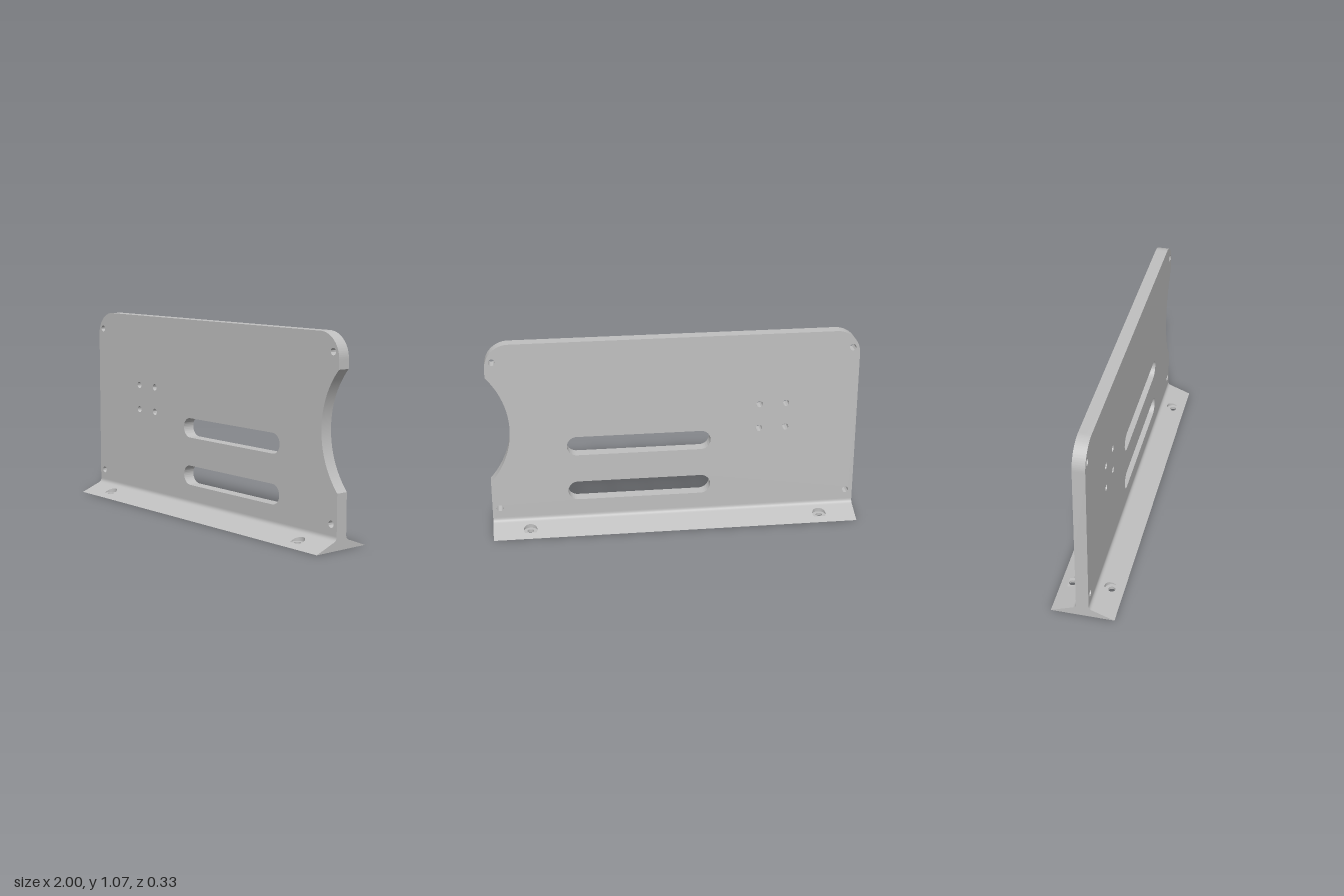
import * as THREE from 'three';
import { toCreasedNormals } from 'three/addons/utils/BufferGeometryUtils.js';

const HALF = 1, WEB = 0.033, TOE = 0.167;             // half length, half web thickness, flange reach
const KNEE = { z: 0.05, y: 0.045 };                   // where the slope meets the fillet
const BOLT = { z: 0.105, r: 0.018, bore: 0.037, clip: 0.021 };
const slopeY = z => KNEE.y * (TOE - z) / (TOE - KNEE.z);
const FLOOR = slopeY(BOLT.z + BOLT.clip);

const circle = (x, y, r) => new THREE.Path().absarc(x, y, r, 0, Math.PI * 2, false);

function slot(x0, x1, y, r) {
  const p = new THREE.Path();
  p.absarc(x1 - r, y, r, -Math.PI / 2, Math.PI / 2, false);
  p.absarc(x0 + r, y, r, Math.PI / 2, Math.PI * 1.5, false);
  p.closePath();
  return p;
}

function rectangle(x0, y0, x1, y1) {
  return new THREE.Shape([[x0, y0], [x1, y0], [x1, y1], [x0, y1]].map(p => new THREE.Vector2(...p)));
}

// Flat shape laid down on the x/z plane, lifted by a height rule
function laid(shape, facing, height) {
  const g = new THREE.ShapeGeometry(shape, 32);
  const p = g.attributes.position;
  for (let i = 0; i < p.count; i++) {
    const z = -facing * p.getY(i);
    p.setXYZ(i, p.getX(i), height(z), z);
  }
  g.computeVertexNormals();
  return g;
}

// Inward-facing wall of an opening, following its outline
function wall(points, bottom, top) {
  const pos = [], index = [];
  points.forEach((p, i) => {
    pos.push(p.x, bottom, -p.y, p.x, top(-p.y), -p.y);
    if (i) {
      const a = 2 * i - 2;
      index.push(a, a + 1, a + 3, a, a + 3, a + 2);
    }
  });
  const g = new THREE.BufferGeometry();
  g.setAttribute('position', new THREE.Float32BufferAttribute(pos, 3));
  g.setIndex(index);
  g.computeVertexNormals();
  return g;
}

// Upright plate with rounded top corners, side cutout, holes and slots
function plateGeometry() {
  const top = 1.07, r = 0.13, cx = 1.34, cy = 0.5875, R = 0.455;
  const a = Math.acos((cx - HALF) / R);
  const s = new THREE.Shape();
  s.moveTo(-HALF, 0);
  s.lineTo(HALF, 0);
  s.absarc(cx, cy, R, Math.PI + a, Math.PI - a, true);
  s.absarc(HALF - r, top - r, r, 0, Math.PI / 2, false);
  s.absarc(-HALF + r, top - r, r, Math.PI / 2, Math.PI, false);
  s.closePath();
  for (const x of [-0.96, 0.96]) for (const y of [0.127, 0.975]) s.holes.push(circle(x, y, 0.018));
  for (const x of [-0.605, -0.46]) for (const y of [0.53, 0.67]) s.holes.push(circle(x, y, 0.018));
  for (const y of [0.21, 0.475]) s.holes.push(slot(-0.195, 0.585, y, 0.054));
  const g = new THREE.ExtrudeGeometry(s, { depth: 2 * WEB, bevelEnabled: false, curveSegments: 32 });
  g.translate(0, 0, -WEB);
  return toCreasedNormals(g, 0.5);
}

// Sloping foot along one side of the plate, with counterbored bolt holes
function createFlange(material) {
  const group = new THREE.Group();
  const add = (name, geometry) => {
    const m = new THREE.Mesh(geometry, material);
    m.name = name;
    group.add(m);
  };
  const slope = rectangle(-HALF, -TOE, HALF, -KNEE.z);
  const underside = rectangle(-HALF, WEB, HALF, TOE);
  const clipAngle = Math.asin(BOLT.clip / BOLT.bore);
  for (const x of [-0.8, 0.8]) {
    const bore = new THREE.Shape();
    bore.absarc(x, -BOLT.z, BOLT.bore, -clipAngle, Math.PI + clipAngle, false);
    const rim = bore.getPoints(32);
    slope.holes.push(new THREE.Path(rim));
    underside.holes.push(circle(x, BOLT.z, BOLT.r));
    const hole = circle(x, -BOLT.z, BOLT.r);
    bore.holes.push(hole);
    add('counterboreWall', wall(rim, FLOOR, slopeY));
    add('counterboreFloor', laid(bore, 1, () => FLOOR));
    add('boltHoleWall', wall(hole.getPoints(32), 0, () => FLOOR));
  }
  add('flangeSlope', laid(slope, 1, slopeY));
  add('flangeUnderside', laid(underside, -1, () => 0));

  // Fillet between slope and plate
  const curve = new THREE.QuadraticBezierCurve(
    new THREE.Vector2(WEB, 0.07), new THREE.Vector2(WEB, slopeY(WEB)), new THREE.Vector2(KNEE.z, KNEE.y));
  const fillet = new THREE.PlaneGeometry(2 * HALF, 1, 1, 10);
  const p = fillet.attributes.position;
  for (let i = 0; i < p.count; i++) {
    const c = curve.getPoint(0.5 - p.getY(i));
    p.setXYZ(i, p.getX(i), c.y, c.x);
  }
  fillet.computeVertexNormals();
  add('fillet', fillet);

  // End caps
  for (const side of [-1, 1]) {
    const outline = [new THREE.Vector2(WEB, 0), ...curve.getPoints(10), new THREE.Vector2(TOE, 0)];
    const cap = new THREE.ShapeGeometry(new THREE.Shape(outline.map(v => new THREE.Vector2(-side * v.x, v.y))));
    cap.rotateY(side * Math.PI / 2);
    cap.translate(side * HALF, 0, 0);
    add('flangeEnd', cap);
  }
  return group;
}

export function createModel() {
  const model = new THREE.Group();
  model.name = 'mountingPlate';
  const metal = new THREE.MeshStandardMaterial({ color: 0xc0c0c0 });
  metal.name = 'light grey metal';

  const plate = new THREE.Mesh(plateGeometry(), metal);
  plate.name = 'uprightPlate';
  model.add(plate);

  const front = createFlange(metal);
  front.name = 'frontFlange';
  const back = createFlange(metal);
  back.name = 'backFlange';
  back.rotation.y = Math.PI;
  model.add(front, back);
  return model;
}
